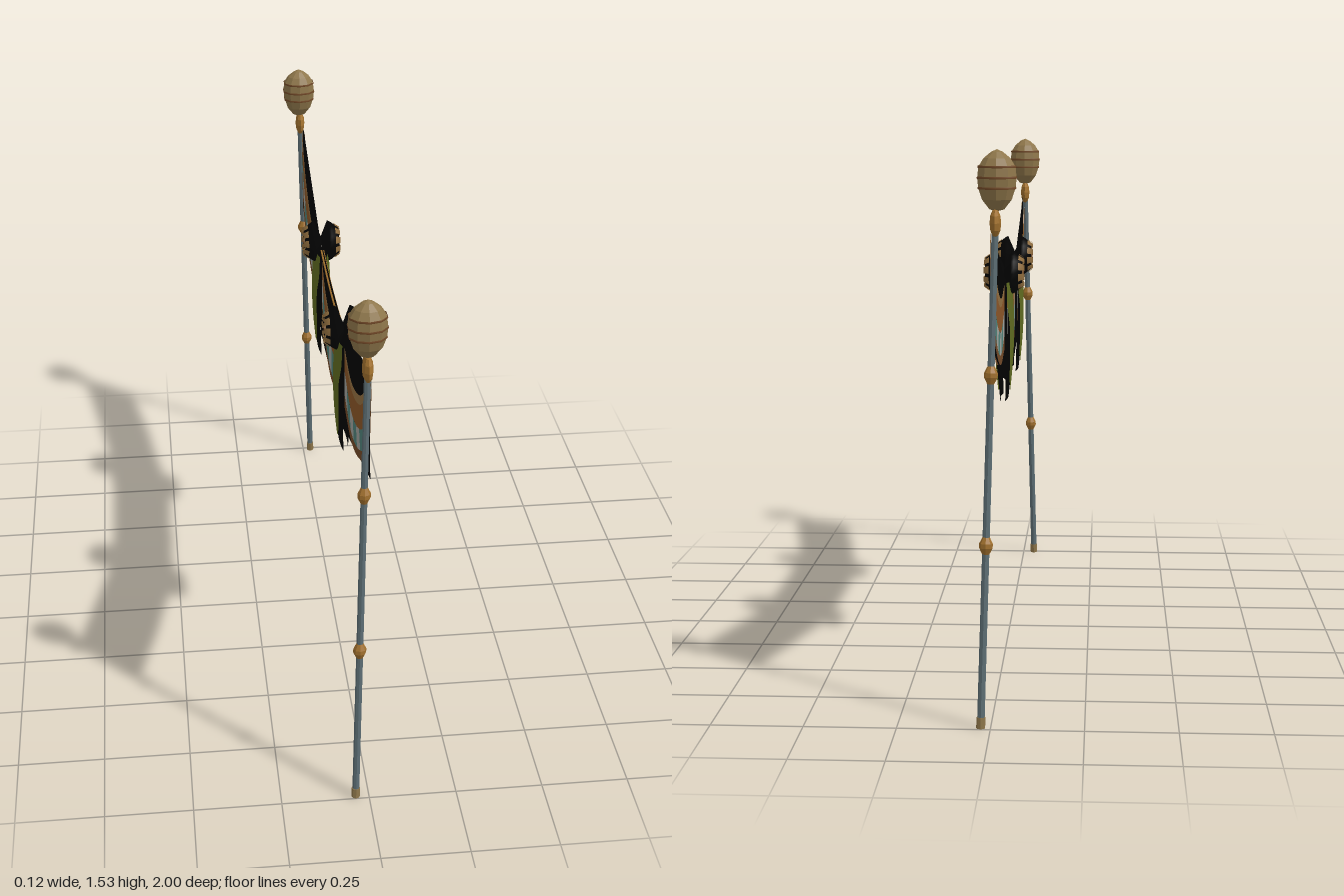
import * as THREE from 'three';

const mat = (name, color, extra = {}) => {
  const m = new THREE.MeshStandardMaterial({ color, side: THREE.DoubleSide, ...extra });
  m.name = name;
  return m;
};

export function createModel() {
  const black = mat('black cloth', 0x030303);
  const green = mat('olive cloth', 0x5f6a20);
  const orange = mat('orange cloth', 0x8c5628);
  const tan = mat('tan cloth', 0x937040);
  const brown = mat('brown trim', 0x744a28);
  const teal = mat('teal cloth', 0x50837a);
  const white = mat('white cloth', 0xa2a49e);
  const steel = mat('grey pole', 0x5c6d73, { flatShading: true });
  const brass = mat('brass', 0xa0702e, { flatShading: true });
  const wood = mat('carved wood', 0x8e764a, { flatShading: true });

  const model = new THREE.Group();
  const add = (name, geo, material, parent = model) => {
    const mesh = new THREE.Mesh(geo, material);
    mesh.name = name;
    parent.add(mesh);
    return mesh;
  };
  const V = (x, y, z) => new THREE.Vector3(x, y, z);
  const lathe = (pts, seg, a = 0, len = Math.PI * 2) =>
    new THREE.LatheGeometry(pts.map(([r, y]) => new THREE.Vector2(r, y)), seg, a, len);

  // Sheet between two [z, y] outlines; xAt gives the depth at a point
  const curve = (pts) => new THREE.CatmullRomCurve3(pts.map(([z, y]) => V(0, y, z)));
  function sheet(a, b, xAt, { t0 = 0, t1 = 1, rows = 24, cols = 1 } = {}) {
    const pos = [], idx = [], w = cols + 1;
    for (let i = 0; i <= rows; i++) {
      const t = t0 + ((t1 - t0) * i) / rows;
      const p = a.getPoint(t), q = b.getPoint(t);
      for (let j = 0; j <= cols; j++) {
        const v = p.clone().lerp(q, j / cols);
        pos.push(xAt(v), v.y, v.z);
        if (i === rows || j === cols) continue;
        const k = i * w + j;
        idx.push(k, k + 1, k + w, k + 1, k + w + 1, k + w);
      }
    }
    const g = new THREE.BufferGeometry();
    g.setAttribute('position', new THREE.Float32BufferAttribute(pos, 3));
    g.setIndex(idx);
    g.computeVertexNormals();
    return g;
  }

  // Leaning poles with feet, knots, top fittings and carved finials
  const poles = [
    { foot: V(-0.038, 0, 0.99), top: V(-0.007, 1.34, 0.915), head: V(-0.007, 0, 0.908), knots: [0.49, 0.97] },
    { foot: V(0.026, 0, -0.99), top: V(-0.01, 1.34, -0.91), head: V(-0.014, 0, -0.905), knots: [0.49, 0.94] },
  ];
  for (const { foot, top, head, knots } of poles) {
    const g = new THREE.Group();
    g.name = 'pole';
    model.add(g);
    const dir = top.clone().sub(foot);
    const quat = new THREE.Quaternion().setFromUnitVectors(V(0, 1, 0), dir.clone().normalize());
    const place = (mesh, y) => {
      mesh.quaternion.copy(quat);
      mesh.position.copy(foot).addScaledVector(dir, y / 1.34);
    };
    place(add('poleShaft', new THREE.CylinderGeometry(0.009, 0.01, 1.32, 8), steel, g), 0.67);
    place(add('poleFoot', new THREE.CylinderGeometry(0.012, 0.012, 0.03, 8), wood, g), 0.015);
    for (const y of knots) {
      const knot = lathe([[0.009, -0.024], [0.018, -0.006], [0.018, 0.006], [0.009, 0.024]], 8);
      place(add('poleKnot', knot, brass, g), y);
    }
    // flattened fitting that holds the cloth
    const fitting = add('topFitting', new THREE.SphereGeometry(0.038, 8, 6), brass, g);
    fitting.scale.x = 0.4;
    fitting.position.copy(top).setY(1.335);
    // barrel-shaped finial with raised bands
    const finial = add('finial', lathe([[0, 1.365], [0.02, 1.37], [0.04, 1.395], [0.05, 1.425], [0.053, 1.45],
      [0.05, 1.48], [0.036, 1.502], [0.016, 1.518], [0, 1.525]], 10), wood, g);
    finial.position.copy(head);
    finial.scale.z = 0.86;
    for (const [y, r] of [[1.425, 0.0512], [1.452, 0.0535], [1.48, 0.0512]]) {
      const band = add('finialBand', lathe([[r, y - 0.003], [r + 0.001, y], [r, y + 0.003]], 10), brown, g);
      band.position.copy(head);
      band.scale.z = 0.86;
    }
  }

  // Black banner
  const outline = [[0.9, 1.325], [0.31, 1.14], [0.25, 1.152], [0, 1.145], [-0.25, 1.152], [-0.31, 1.14],
    [-0.905, 1.325], [-0.935, 1.02], [-0.39, 0.855], [-0.25, 0.828], [0.25, 0.825], [0.39, 0.852], [0.938, 1.02]];
  const cloth = new THREE.ShapeGeometry(new THREE.Shape(outline.map(([z, y]) => new THREE.Vector2(-z, y))));
  add('banner', cloth.rotateY(Math.PI / 2), black);

  // Swag outlines from the top of the garland to its hem
  const sideRows = [
    [[0.895, 1.31], [0.8, 1.2], [0.65, 1.125], [0.52, 1.1], [0.38, 1.125]],
    [[0.9, 1.305], [0.81, 1.18], [0.66, 1.1], [0.52, 1.077], [0.38, 1.105]],
    [[0.905, 1.3], [0.84, 1.13], [0.69, 1.037], [0.53, 1.008], [0.38, 1.05]],
    [[0.908, 1.28], [0.852, 1.075], [0.72, 0.985], [0.55, 0.942], [0.38, 0.975]],
    [[0.912, 1.26], [0.868, 1.045], [0.73, 0.962], [0.55, 0.914], [0.38, 0.935]],
  ];
  const halfRows = [
    [[0.25, 1.125], [0.15, 1.06], [0, 1.035]],
    [[0.25, 1.11], [0.155, 1.04], [0, 1.012]],
    [[0.25, 1.065], [0.15, 0.975], [0, 0.945]],
    [[0.25, 0.985], [0.16, 0.9], [0, 0.86]],
    [[0.25, 0.955], [0.155, 0.873], [0, 0.837]],
  ];
  const flip = (pts) => pts.map(([z, y]) => [-z, y]);
  const centreRows = halfRows.map((r) => [...r, ...flip(r.slice(0, -1)).reverse()]);
  const cells = 9;
  for (const rows of [sideRows, centreRows, sideRows.map(flip)]) {
    const c = rows.map(curve);
    for (const s of [1, -1]) {
      const x = () => 0.004 * s;
      add('swagTopBand', sheet(c[0], c[1], x), tan);
      add('swagBand', sheet(c[1], c[2], x), orange);
      add('swagHem', sheet(c[3], c[4], x), brown);
      for (let i = 0; i < cells; i++)
        add('swagCheck', sheet(c[2], c[3], x, { t0: i / cells, t1: (i + 1) / cells, rows: 4 }), i % 2 ? teal : white);
    }
  }

  // Hanging drapes and rosettes on both faces of the banner
  const backEdge = [[0.06, 1.13], [0.062, 1.0], [0.068, 0.88], [0.072, 0.785]];
  const greenEdge = [[0.07, 1.13], [0.066, 1.06], [0.053, 1.0], [0.048, 0.9], [0.04, 0.845], [0.028, 0.825], [0.012, 0.806]];
  for (const zc of [0.312, -0.312]) {
    const edge = (pts, s) => curve(pts.map(([w, y]) => [zc + w * s, y]));
    const bulge = ({ y, z }) => 0.006 + 0.02 * Math.sin((Math.PI * (y - 0.74)) / 0.5) * (1 - ((z - zc) / 0.075) ** 2);
    for (const s of [1, -1]) {
      add('drapeBacking', sheet(edge(backEdge, -1), edge(backEdge, 1), (p) => s * bulge(p), { cols: 10 }), black);
      add('drape', sheet(edge(greenEdge, -1), edge(greenEdge, 1), (p) => s * (bulge(p) + 0.003), { cols: 10 }), green);

      const rosette = new THREE.Group();
      rosette.name = 'rosette';
      rosette.position.set(0, 1.155, zc);
      rosette.rotation.z = -s * Math.PI / 2;
      model.add(rosette);
      add('rosetteCup', lathe([[0.015, 0], [0.064, 0.022], [0.06, 0.03], [0.042, 0.054], [0.02, 0.046], [0, 0.046]], 20), black, rosette);
      const petals = 10, step = (Math.PI * 2) / petals;
      for (let i = 0; i < petals; i++)
        add('petal', lathe([[0.054, 0.0425], [0.043, 0.058], [0.02, 0.05]], 2, i * step, step * 0.68), tan, rosette);
      add('rosetteCentre', new THREE.CylinderGeometry(0.022, 0.022, 0.006, 10), tan, rosette).position.y = 0.05;
      add('rosetteButton', new THREE.CylinderGeometry(0.007, 0.007, 0.004, 8), brown, rosette).position.y = 0.055;
    }
  }

  // Slack cords between the rosettes
  for (const s of [1, -1]) {
    const path = new THREE.QuadraticBezierCurve3(V(s * 0.003, 1.14, 0.27), V(s * 0.003, 1.108, 0), V(s * 0.003, 1.14, -0.27));
    add('cord', new THREE.TubeGeometry(path, 12, 0.003, 5), brass);
  }

  return model;
}
